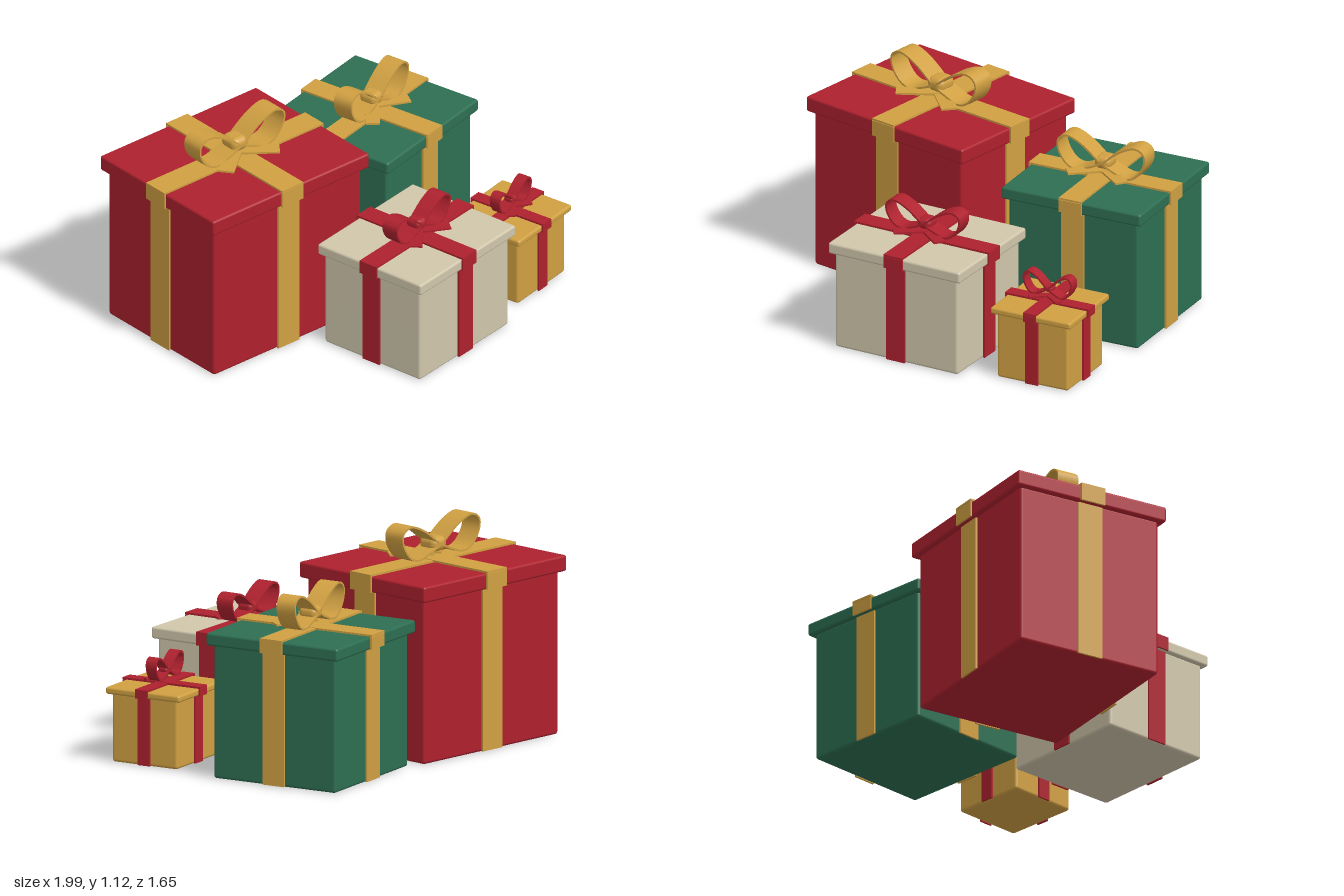
import * as THREE from 'three';
import { toCreasedNormals } from 'three/addons/utils/BufferGeometryUtils.js';
import { RoundedBoxGeometry } from 'three/addons/geometries/RoundedBoxGeometry.js';

const material = (name, color) => {
  const m = new THREE.MeshStandardMaterial({ color });
  m.name = name;
  return m;
};

const T = 0.01; // ribbon thickness

function add(parent, name, geometry, mat, x = 0, y = 0, z = 0) {
  const mesh = new THREE.Mesh(geometry, mat);
  mesh.name = name;
  mesh.position.set(x, y, z);
  parent.add(mesh);
  return mesh;
}

// Teardrop band of ribbon standing in the x-y plane, a wide and u high above the knot
function loopGeometry(a, u, width) {
  const path = [[0.06, 0.08], [0.4, 0.65], [0.74, 0.96], [0.95, 0.75], [0.95, 0.25],
    [0.78, -0.28], [0.55, -0.46], [0.25, -0.25], [0.06, -0.06]];
  const curve = new THREE.SplineCurve(path.map(([x, y]) => new THREE.Vector2(x * a, y * u)));
  const outer = [], inner = [], n = 44;
  for (let i = 0; i <= n; i++) {
    const p = curve.getPoint(i / n), t = curve.getTangent(i / n);
    const side = new THREE.Vector2(-t.y, t.x).multiplyScalar(T / 2);
    outer.push(p.clone().add(side));
    inner.push(p.clone().sub(side));
  }
  const shape = new THREE.Shape([...outer, ...inner.reverse()]);
  const geo = new THREE.ExtrudeGeometry(shape, { depth: width, bevelEnabled: false });
  geo.translate(0, 0, -width / 2);
  return toCreasedNormals(geo, 0.7);
}

function makeBow(mat, { half, up, lift, ribbon }) {
  const bow = new THREE.Group();
  bow.name = 'bow';
  const s = half / 0.28;
  const loop = loopGeometry(half, up, ribbon * 0.85);
  add(bow, 'leftLoop', loop, mat, 0, lift, 0);
  add(bow, 'rightLoop', loop, mat, 0, lift, 0).rotation.y = Math.PI;
  add(bow, 'knot', new RoundedBoxGeometry(0.1 * s, 0.075 * s, 0.115 * s, 4, 0.033 * s), mat, 0, lift, 0);
  // Two flat tails spreading towards the front
  const tail = new THREE.BoxGeometry(0.22 * s, T, 0.08 * s);
  tail.translate(0.11 * s, 0, 0);
  add(bow, 'leftTail', tail, mat, 0, 0.019, 0).rotation.y = -0.66;
  add(bow, 'rightTail', tail, mat, 0, 0.02, 0).rotation.y = Math.PI + 0.66;
  return bow;
}

function makeGift(name, paper, ribbonMat, o) {
  const gift = new THREE.Group();
  gift.name = name;
  gift.position.set(o.x, 0, o.z);
  gift.rotation.y = o.turn;
  const { w, d, lidY, top, inset, ribbon } = o;
  const bw = w - 2 * inset, bd = d - 2 * inset, lidH = top - lidY;

  // Box and overhanging lid
  add(gift, 'box', new RoundedBoxGeometry(bw, lidY + 0.01, bd, 3, 0.015), paper, 0, (lidY + 0.01) / 2, 0);
  add(gift, 'lid', new RoundedBoxGeometry(w, lidH, d, 3, 0.012), paper, 0, lidY + lidH / 2, 0);

  // Ribbon across the lid, both ways
  add(gift, 'topRibbonAcross', new THREE.BoxGeometry(w + 2 * T, T, ribbon), ribbonMat, 0, top + T / 2, 0);
  add(gift, 'topRibbonLengthwise', new THREE.BoxGeometry(ribbon, T, d + 2 * T), ribbonMat, 0, top + T / 2 + 0.002, 0);

  // Ribbon down the lid rim and the box on all four sides
  const bodyH = lidY - 0.004;
  for (const side of [-1, 1]) {
    add(gift, 'lidRibbon', new THREE.BoxGeometry(T, lidH, ribbon), ribbonMat,
      side * (w + T) / 2, lidY + lidH / 2, 0);
    add(gift, 'lidRibbon', new THREE.BoxGeometry(ribbon, lidH, T), ribbonMat,
      0, lidY + lidH / 2, side * (d + T) / 2);
    add(gift, 'boxRibbon', new THREE.BoxGeometry(T, bodyH, ribbon), ribbonMat,
      side * (bw + T) / 2, 0.002 + bodyH / 2, 0);
    add(gift, 'boxRibbon', new THREE.BoxGeometry(ribbon, bodyH, T), ribbonMat,
      0, 0.002 + bodyH / 2, side * (bd + T) / 2);
  }

  const bow = makeBow(ribbonMat, o);
  bow.position.y = top + T;
  gift.add(bow);
  return gift;
}

export function createModel() {
  const red = material('red', 0xae212e);
  const gold = material('gold', 0xd0a042);
  const green = material('green', 0x2d6e52);
  const cream = material('cream', 0xd0c6ab);

  const model = new THREE.Group();
  model.name = 'giftBoxes';
  model.add(
    makeGift('largeRedGift', red, gold, {
      x: -0.44, z: -0.34, turn: -0.117, w: 1.03, d: 0.865, lidY: 0.833, top: 0.915, inset: 0.03,
      ribbon: 0.14, half: 0.285, up: 0.125, lift: 0.07,
    }),
    makeGift('greenGift', green, gold, {
      x: 0.56, z: -0.33, turn: 0.12, w: 0.78, d: 0.758, lidY: 0.68, top: 0.745, inset: 0.027,
      ribbon: 0.125, half: 0.25, up: 0.122, lift: 0.065,
    }),
    makeGift('creamGift', cream, red, {
      x: 0.024, z: 0.465, turn: 0.066, w: 0.76, d: 0.66, lidY: 0.51, top: 0.57, inset: 0.025,
      ribbon: 0.108, half: 0.217, up: 0.1, lift: 0.063,
    }),
    makeGift('smallGoldGift', gold, red, {
      x: 0.747, z: 0.44, turn: 0.115, w: 0.45, d: 0.428, lidY: 0.348, top: 0.384, inset: 0.025,
      ribbon: 0.07, half: 0.137, up: 0.08, lift: 0.06,
    }),
  );
  return model;
}
